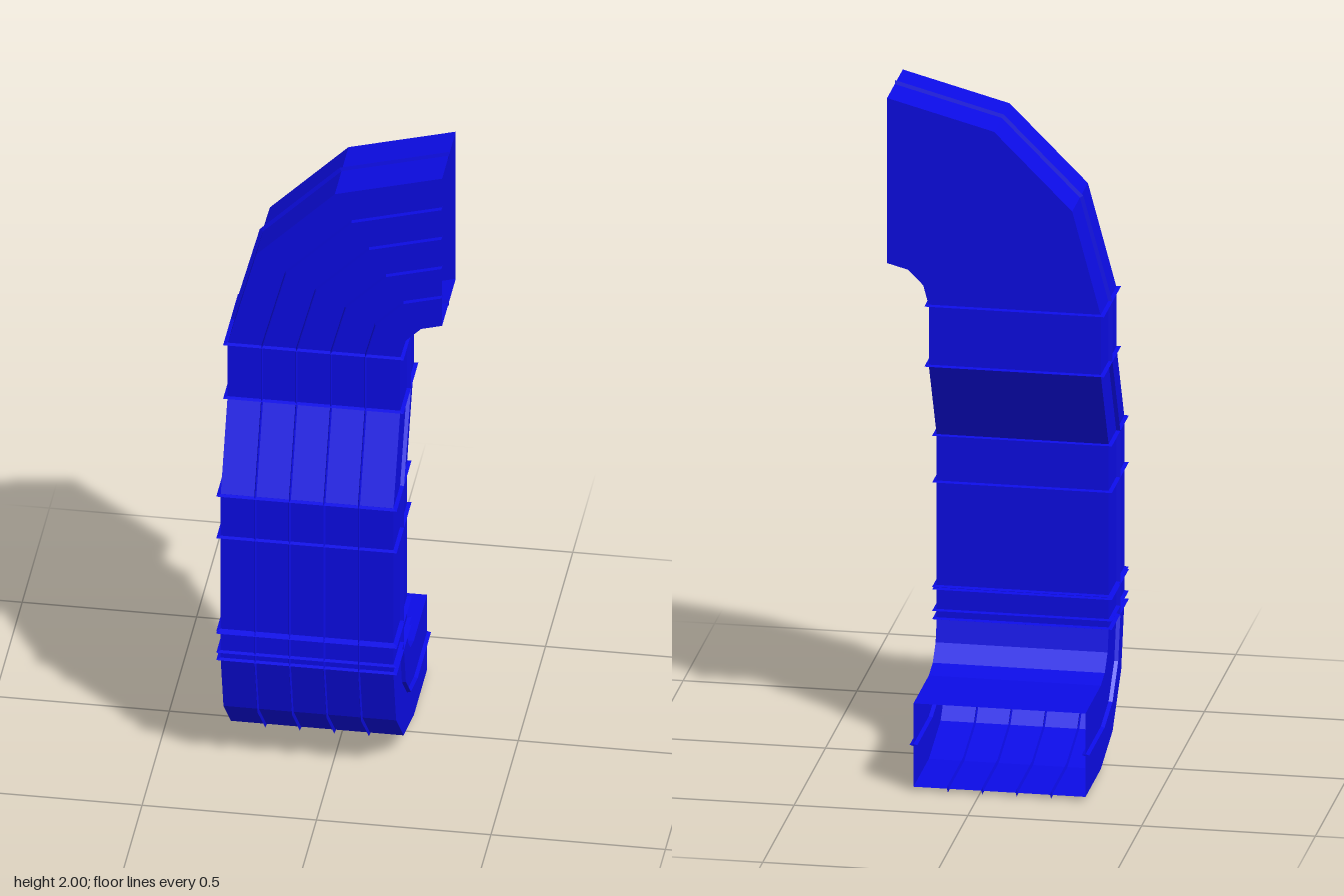
import * as THREE from 'three';

const X0 = -0.305, W = 0.495, D = 0.25; // duct left edge, width and depth
const RIB = 0.011, HALF = 0.003;        // rib height and half thickness

// A station places (u across, v back to front) of the duct's cross-section.
const level = (y, zBack) => (u, v) => new THREE.Vector3(X0 + W * u, y, zBack + D * v);

function stations() {
  const list = [];
  // open lower end, then the elbow turning upwards
  const cy = 0.386, cz = -0.07;
  list.push((u, v) => new THREE.Vector3(X0 + W * u, cy - 0.125 - D * v, -0.314));
  for (let i = 0; i <= 3; i++) {
    const a = i * Math.PI / 6;
    list.push((u, v) => {
      const r = 0.125 + D * v;
      return new THREE.Vector3(X0 + W * u, cy - r * Math.cos(a), cz + r * Math.sin(a));
    });
  }
  // straight, offset and straight
  list.push(level(0.94, 0.055), level(1.19, -0.07));
  // upper elbow turning towards +x
  for (let i = 0; i <= 3; i++) {
    const a = i * Math.PI / 6;
    list.push((u, v) => {
      const r = 0.12 + W * (1 - u);
      return new THREE.Vector3(0.31 - r * Math.cos(a), 1.37 + r * Math.sin(a), -0.07 + D * v);
    });
  }
  return list;
}

// Skin a row of closed four-point sections.
function skin(sections, { loop = false, caps = false } = {}) {
  const pos = [], idx = [], n = sections.length;
  sections.forEach(s => s.forEach(p => pos.push(p.x, p.y, p.z)));
  for (let i = 0; i < (loop ? n : n - 1); i++) {
    const j = (i + 1) % n;
    for (let k = 0; k < 4; k++) {
      const m = (k + 1) % 4;
      const a = i * 4 + k, b = i * 4 + m, c = j * 4 + m, d = j * 4 + k;
      idx.push(a, b, c, a, c, d);
    }
  }
  if (caps) {
    const e = (n - 1) * 4;
    idx.push(0, 2, 1, 0, 3, 2, e, e + 1, e + 2, e, e + 2, e + 3);
  }
  const g = new THREE.BufferGeometry();
  g.setAttribute('position', new THREE.Float32BufferAttribute(pos, 3));
  g.setIndex(idx);
  g.computeVertexNormals();
  return g;
}

export function createModel() {
  const group = new THREE.Group();
  const material = new THREE.MeshStandardMaterial({
    color: 0x0c0ce6, flatShading: true, side: THREE.DoubleSide,
  });
  const add = (name, geometry) => {
    const mesh = new THREE.Mesh(geometry, material);
    mesh.name = name;
    group.add(mesh);
  };
  const path = stations();

  // hollow duct, open at both ends; corners run counter-clockwise seen from its start
  add('ductShell', skin(path.map(p => [p(0, 0), p(0, 1), p(1, 1), p(1, 0)])));

  // thin lengthwise ribs with a diamond section
  const lengthRib = (name, u, v, du, dv) => add(name, skin(
    path.map(p => [p(u - du, v), p(u, v + dv), p(u + du, v), p(u, v - dv)]), { caps: true }));
  for (let i = 1; i <= 4; i++) lengthRib('frontRib', i / 5, 1, HALF / W, RIB / D);
  lengthRib('rightSideRib', 0, 0.5, RIB / W, HALF / D);
  lengthRib('leftSideRib', 1, 0.5, RIB / W, HALF / D);

  // thin bands around the upright part
  const corners = [[0, 0], [0, 1], [1, 1], [1, 0]];
  const bands = [[0.39, 0.055], [0.415, 0.055], [0.479, 0.055], [0.487, 0.055],
    [0.8, 0.055], [0.94, 0.055], [1.19, -0.07], [1.37, -0.07]];
  for (const [y, z] of bands) {
    const at = (u, v, out, dy) =>
      level(y + dy, z)(u + (u * 2 - 1) * out / W, v + (v * 2 - 1) * out / D);
    add('bandRib', skin(corners.map(([u, v]) => [
      at(u, v, RIB, 0), at(u, v, 0, HALF), at(u, v, -RIB, 0), at(u, v, 0, -HALF),
    ]), { loop: true }));
  }
  return group;
}
